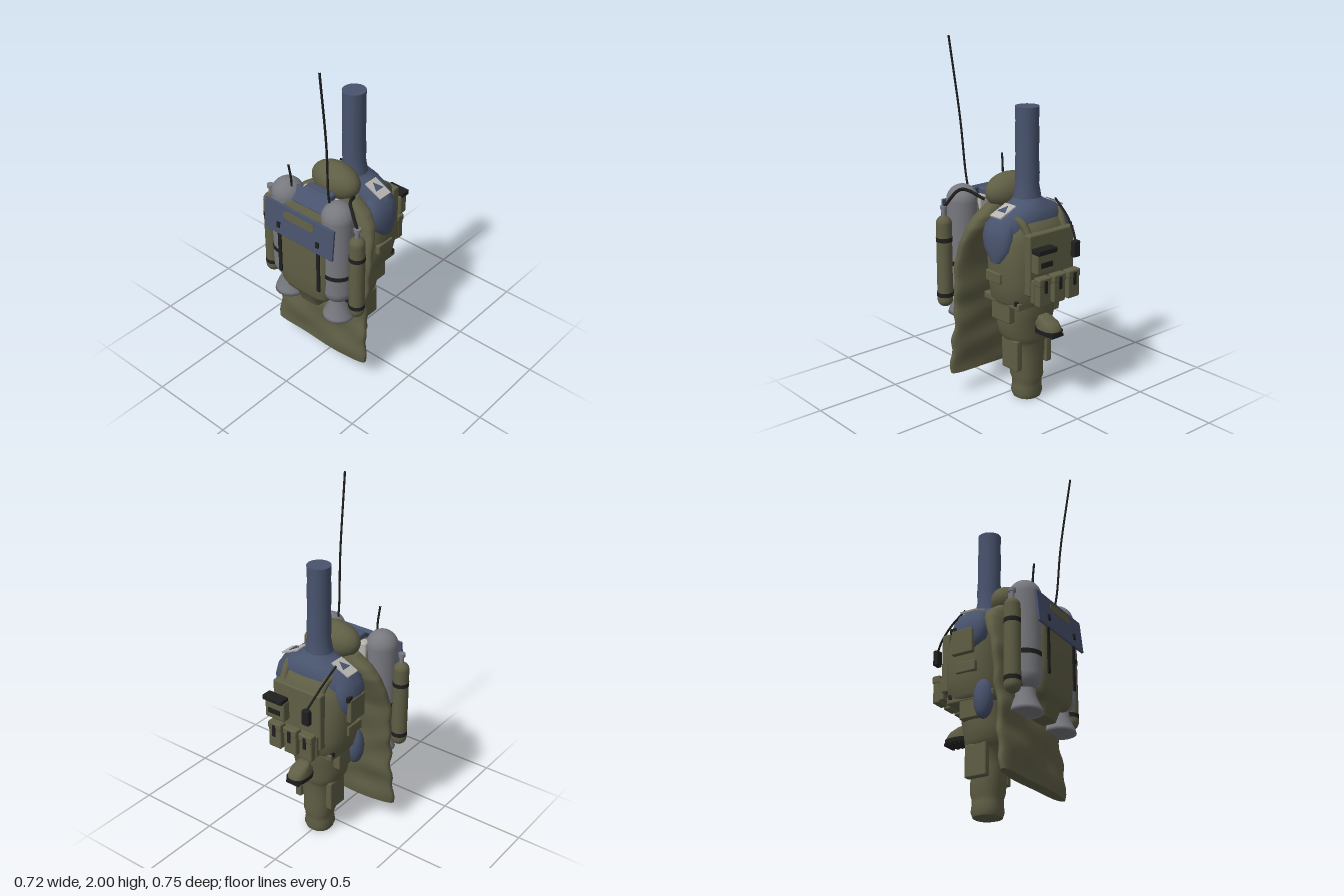
import * as THREE from 'three';
import { RoundedBoxGeometry } from 'three/addons/geometries/RoundedBoxGeometry.js';

const mat = (name, color) => {
  const m = new THREE.MeshStandardMaterial({ color });
  m.name = name;
  return m;
};

// Closed loft through horizontal superellipse sections [y, centreX, centreZ, halfX, halfZ], bottom to top
function loft(sections, power = 2, warp = null, n = 36) {
  const pos = [], idx = [];
  const soft = (v) => Math.sign(v) * Math.abs(v) ** (2 / power);
  const ring = ([y, cx, cz, hx, hz]) => {
    for (let i = 0; i < n; i++) {
      const a = (i / n) * Math.PI * 2;
      const p = new THREE.Vector3(cx + hx * soft(Math.cos(a)), y, cz + hz * soft(Math.sin(a)));
      if (warp) warp(p);
      pos.push(p.x, p.y, p.z);
    }
  };
  sections.forEach(ring);
  for (let s = 0; s < sections.length - 1; s++) {
    for (let i = 0; i < n; i++) {
      const a = s * n + i, b = s * n + (i + 1) % n;
      idx.push(a, a + n, b, b, a + n, b + n);
    }
  }
  // end caps with their own vertices
  [sections[0], sections[sections.length - 1]].forEach((sec, top) => {
    const start = pos.length / 3;
    ring(sec);
    const c = new THREE.Vector3(sec[1], sec[0], sec[2]);
    if (warp) warp(c);
    pos.push(c.x, c.y, c.z);
    for (let i = 0; i < n; i++) {
      const a = start + i, b = start + (i + 1) % n;
      idx.push(start + n, top ? b : a, top ? a : b);
    }
  });
  const g = new THREE.BufferGeometry();
  g.setAttribute('position', new THREE.Float32BufferAttribute(pos, 3));
  g.setIndex(idx);
  g.computeVertexNormals();
  return g;
}

const tube = (points, r) => new THREE.TubeGeometry(
  new THREE.CatmullRomCurve3(points.map((p) => new THREE.Vector3(...p))), 24, r, 8);

export function createModel() {
  const model = new THREE.Group();
  const olive = mat('olive cloth', 0x5f5e45);
  const blue = mat('blue suit', 0x48536d);
  const grey = mat('tank grey', 0x78797f);
  const pale = mat('pale grey', 0xb6b4b0);
  const black = mat('black rubber', 0x1f1f1f);

  const add = (name, geo, material, x = 0, y = 0, z = 0, rx = 0, ry = 0, rz = 0) => {
    const m = new THREE.Mesh(geo, material);
    m.name = name;
    m.position.set(x, y, z);
    m.rotation.set(rx, ry, rz);
    model.add(m);
    return m;
  };
  const box = (name, material, w, h, d, x, y, z, rx = 0, ry = 0, rz = 0) =>
    add(name, new RoundedBoxGeometry(w, h, d, 2, Math.min(w, h, d) * 0.2), material, x, y, z, rx, ry, rz);
  const cyl = (name, material, rt, rb, h, x, y, z) =>
    add(name, new THREE.CylinderGeometry(rt, rb, h, 28), material, x, y, z);

  // Standing leg and pelvis
  add('leg', loft([
    [0, 0, -0.085, 0.075, 0.075], [0.03, 0, -0.085, 0.085, 0.085], [0.07, 0, -0.085, 0.08, 0.08],
    [0.1, 0, -0.085, 0.078, 0.083], [0.13, 0, -0.085, 0.09, 0.09], [0.2, 0, -0.08, 0.092, 0.092],
    [0.26, 0, -0.08, 0.098, 0.097], [0.33, 0, -0.08, 0.1, 0.096], [0.355, 0, -0.072, 0.125, 0.115],
    [0.39, 0, -0.066, 0.145, 0.13], [0.45, 0, -0.066, 0.158, 0.132], [0.5, 0, -0.075, 0.162, 0.135],
    [0.56, 0, -0.078, 0.165, 0.14], [0.64, 0, -0.08, 0.17, 0.14]], 2.3), olive);

  // Armoured vest around the torso
  add('vest', loft([
    [0.6, 0, -0.09, 0.19, 0.15], [0.62, 0, -0.1, 0.21, 0.175], [0.72, 0, -0.103, 0.23, 0.178],
    [0.85, 0, -0.102, 0.235, 0.178], [0.95, 0, -0.1, 0.225, 0.17], [1.01, 0, -0.095, 0.205, 0.165],
    [1.06, 0, -0.085, 0.17, 0.145], [1.1, 0, -0.08, 0.12, 0.1]], 2.5), olive);
  box('chestPlate', olive, 0.32, 0.34, 0.05, 0, 0.85, -0.262);
  box('waistBelt', olive, 0.38, 0.04, 0.29, 0, 0.61, -0.085);

  // Blue shoulders and tall collar tube
  add('shoulders', loft([
    [0.88, 0, -0.1, 0.235, 0.07], [0.92, 0, -0.1, 0.25, 0.1], [0.97, 0, -0.1, 0.26, 0.118],
    [1.02, 0, -0.1, 0.252, 0.125], [1.08, 0, -0.1, 0.22, 0.124], [1.12, 0, -0.095, 0.16, 0.11],
    [1.15, 0, -0.09, 0.09, 0.09], [1.17, 0, -0.085, 0.075, 0.075]]), blue);
  add('collarTube', loft([
    [1.13, 0, -0.085, 0.08, 0.08], [1.18, 0, -0.085, 0.076, 0.072], [1.24, 0, -0.085, 0.063, 0.065],
    [1.3, 0, -0.085, 0.066, 0.068], [1.4, 0, -0.083, 0.062, 0.064], [1.5, 0, -0.083, 0.064, 0.067],
    [1.58, 0, -0.083, 0.062, 0.064], [1.66, 0, -0.083, 0.065, 0.066]]), blue);
  add('suitHem', new THREE.SphereGeometry(1, 24, 16), blue, -0.185, 0.58, 0.0).scale.set(0.05, 0.11, 0.055);

  for (const s of [-1, 1]) {
    // Rounded sleeve end under each shoulder
    add('sleeve', loft([
      [0.845, s * 0.2, -0.095, 0.05, 0.045], [0.875, s * 0.2, -0.092, 0.056, 0.07],
      [0.92, s * 0.198, -0.083, 0.062, 0.1], [0.98, s * 0.195, -0.08, 0.066, 0.108],
      [1.04, s * 0.185, -0.08, 0.06, 0.1], [1.08, s * 0.17, -0.085, 0.04, 0.075]], 2.2), blue);
    // Shoulder strap and pale badge with a blue triangle
    add('vestStrap', tube([[s * 0.125, 1.0, -0.24], [s * 0.135, 1.062, -0.2], [s * 0.148, 1.085, -0.16]], 0.022), olive);
    const badge = new THREE.Group();
    badge.name = 'shoulderBadge';
    badge.position.set(s * 0.17, 1.115, -0.085);
    badge.rotation.z = -s * 0.42;
    badge.add(new THREE.Mesh(new THREE.BoxGeometry(0.12, 0.009, 0.086), pale));
    const tri = new THREE.Mesh(new THREE.CylinderGeometry(0.034, 0.034, 0.004, 3), blue);
    tri.position.set(s * -0.005, 0.006, 0);
    tri.rotation.y = s > 0 ? -Math.PI / 2 : Math.PI / 2;
    badge.add(tri);
    badge.children.forEach((m, i) => { m.name = i ? 'badgeTriangle' : 'badgePlate'; });
    model.add(badge);
    // Side, hip and thigh pockets
    box('sidePouch', olive, 0.03, 0.06, 0.12, s * 0.228, 0.76, -0.08);
    box('hipPouch', olive, 0.045, 0.13, 0.15, s * 0.165, 0.555, -0.075);
    box('thighPocket', olive, 0.04, 0.18, 0.13, s * 0.11, 0.28, -0.085);
    box('hipBuckle', black, 0.02, 0.03, 0.025, s * 0.182, 0.627, -0.205);
  }
  box('sideRadio', olive, 0.03, 0.14, 0.13, -0.25, 0.9, -0.09);
  box('sideRadioTop', black, 0.02, 0.03, 0.04, -0.25, 0.975, -0.15);

  // Row of three chest pouches with black clasps
  for (const x of [-0.105, 0, 0.105]) {
    box('chestPouch', olive, 0.084, 0.15, 0.045, x, 0.71, -0.327);
    box('pouchFlap', olive, 0.09, 0.045, 0.052, x, 0.772, -0.328);
    box('pouchClasp', black, 0.02, 0.07, 0.008, x, 0.745, -0.355);
  }
  box('pouchBacking', olive, 0.3, 0.13, 0.03, 0, 0.71, -0.292);
  // Upper chest radio and talk handset
  box('chestRadio', olive, 0.13, 0.12, 0.055, 0.1, 0.88, -0.325);
  box('chestRadioLid', black, 0.13, 0.03, 0.062, 0.103, 0.945, -0.338);
  box('chestRadioFace', black, 0.08, 0.03, 0.008, 0.1, 0.87, -0.353);
  box('handset', black, 0.046, 0.09, 0.032, -0.115, 0.91, -0.345);
  add('handsetCable', tube([[-0.155, 1.14, -0.14], [-0.145, 1.07, -0.24], [-0.13, 1.0, -0.31], [-0.115, 0.95, -0.345]], 0.006), black);

  // Raised boot with a cleated sole
  add('raisedLeg', tube([[0, 0.49, -0.12], [0, 0.485, -0.18], [0, 0.475, -0.25]], 0.045), olive);
  add('raisedBoot', loft([
    [0.445, 0, -0.265, 0.055, 0.075], [0.47, 0, -0.265, 0.055, 0.073], [0.495, 0, -0.258, 0.05, 0.06],
    [0.515, 0, -0.235, 0.042, 0.035], [0.525, 0, -0.225, 0.03, 0.02]], 2.4), olive);
  add('bootSole', loft([[0.432, 0, -0.265, 0.058, 0.078], [0.456, 0, -0.265, 0.06, 0.08]], 2.8), black);
  for (const z of [-0.21, -0.24, -0.27, -0.3, -0.33]) box('soleCleat', black, 0.09, 0.016, 0.016, 0, 0.43, z);

  // Hood and long hanging cape with soft folds
  add('hood', new THREE.SphereGeometry(1, 36, 24), olive, 0, 1.175, 0.062).scale.set(0.155, 0.103, 0.095);
  const capeKeys = [
    [0.13, 0, 0.19, 0.33, 0.036], [0.3, 0, 0.18, 0.32, 0.042], [0.45, 0, 0.168, 0.31, 0.042],
    [0.6, 0, 0.158, 0.315, 0.044], [0.8, 0, 0.142, 0.322, 0.046], [0.92, 0, 0.11, 0.305, 0.054],
    [1.0, 0, 0.083, 0.28, 0.065], [1.06, 0, 0.07, 0.235, 0.064], [1.12, 0, 0.065, 0.15, 0.05]];
  const rows = [];
  capeKeys.forEach((k, i) => {
    const next = capeKeys[i + 1];
    if (!next) { rows.push(k); return; }
    for (let t = 0; t < 5; t++) rows.push(k.map((v, j) => v + (next[j] - v) * t / 5));
  });
  add('cape', loft(rows, 2.8, (p) => {
    const fade = THREE.MathUtils.clamp((1 - p.y) * 2, 0, 1);
    p.z += 0.005 * fade * (Math.sin(p.y * 34 + p.x * 7) + Math.sin(p.y * 21 - p.x * 13));
    p.x *= 1 + 0.02 * fade * Math.sin(p.y * 43);
  }, 64), olive);

  // Backpack body
  add('packBody', loft([
    [0.47, 0, 0.24, 0.07, 0.06], [0.55, 0, 0.25, 0.085, 0.08], [0.555, 0, 0.25, 0.15, 0.09],
    [0.59, 0, 0.25, 0.175, 0.105], [0.7, 0, 0.255, 0.183, 0.11], [0.95, 0, 0.255, 0.183, 0.108],
    [1.06, 0, 0.25, 0.165, 0.1], [1.1, 0, 0.248, 0.15, 0.097]], 4.5), olive);
  box('packTopPlate', pale, 0.27, 0.1, 0.06, 0, 1.09, 0.182);
  box('packTopBox', blue, 0.18, 0.1, 0.066, 0, 1.125, 0.194);
  box('packTopBar', blue, 0.24, 0.09, 0.025, 0, 1.142, 0.262, -0.75);
  // Broad blue flap with a rounded olive patch
  box('packFlap', blue, 0.49, 0.185, 0.014, 0, 1.01, 0.359, -0.1);
  const patch = new THREE.Shape();
  patch.absarc(0.085, 0, 0.024, -Math.PI / 2, Math.PI / 2);
  patch.absarc(-0.085, 0, 0.024, Math.PI / 2, Math.PI * 1.5);
  add('flapPatch', new THREE.ExtrudeGeometry(patch, { depth: 0.005, bevelEnabled: false }), olive, 0, 1.055, 0.36, -0.1);

  for (const s of [-1, 1]) {
    // Pack straps
    box('packStrap', black, 0.022, 0.28, 0.009, s * 0.14, 0.8, 0.366);
    box('flapTab', black, 0.022, 0.035, 0.009, s * 0.14, 0.975, 0.372, -0.1);
    // Large tank with band and nozzle
    add('largeTank', new THREE.CapsuleGeometry(0.09, 0.46, 12, 32), grey, s * 0.18, 0.88, 0.25);
    cyl('largeTankBand', black, 0.093, 0.093, 0.025, s * 0.18, 0.76, 0.25);
    add('nozzle', new THREE.LatheGeometry([[0, 0.46], [0.075, 0.455], [0.09, 0.45], [0.085, 0.47], [0.055, 0.54], [0.05, 0.6]]
      .map((p) => new THREE.Vector2(...p)), 32), grey, s * 0.18, 0, 0.25);
    // Small side tank with bands and valve
    add('sideTank', new THREE.CapsuleGeometry(0.044, 0.44, 8, 24), olive, s * 0.312, 0.78, 0.25);
    for (const y of [0.59, 0.91]) {
      cyl('sideTankBand', black, 0.046, 0.046, 0.024, s * 0.312, y, 0.25);
      box('tankBracket', black, 0.07, 0.022, 0.03, s * 0.27, y, 0.25);
    }
    cyl('valveStem', grey, 0.013, 0.013, 0.06, s * 0.312, 1.06, 0.25);
    cyl('valveKnob', grey, 0.02, 0.02, 0.018, s * 0.312, 1.09, 0.25);
  }

  // Air hose, long and short antennas
  add('airHose', tube([[0.312, 1.09, 0.25], [0.225, 1.185, 0.205], [0.15, 1.14, 0.09]], 0.009), black);
  add('longAntenna', tube([[0.13, 1.14, 0.255], [0.135, 1.25, 0.275], [0.148, 1.55, 0.3], [0.168, 2.0, 0.365]], 0.006), black);
  add('shortAntenna', tube([[-0.13, 1.14, 0.27], [-0.132, 1.23, 0.273], [-0.137, 1.32, 0.285]], 0.006), black);

  return model;
}
